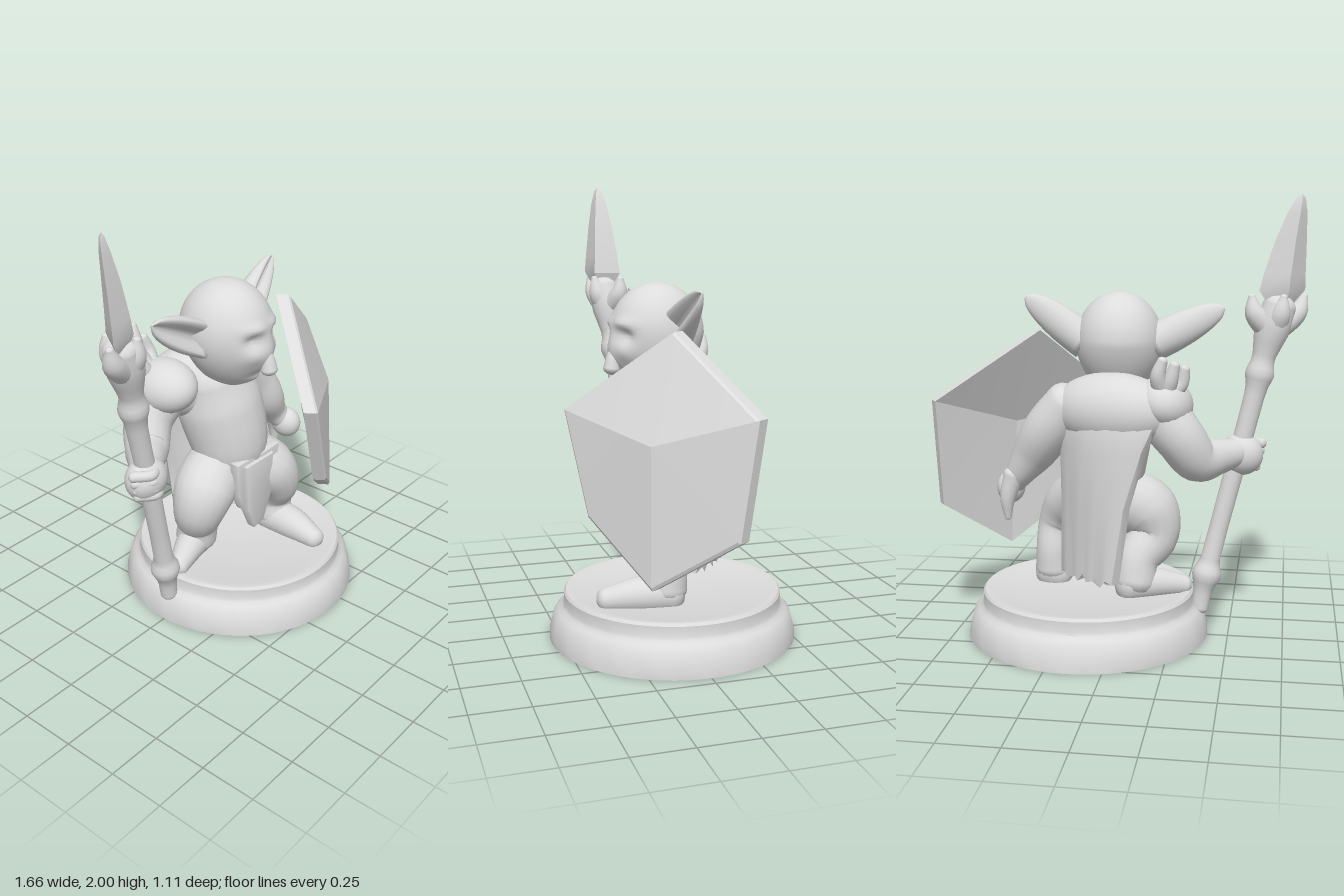
import * as THREE from 'three';
import { toCreasedNormals } from 'three/addons/utils/BufferGeometryUtils.js';

const stone = new THREE.MeshStandardMaterial({ color: 0xdcdcdc });
stone.name = 'plain grey';
const V = (x, y, z) => new THREE.Vector3(x, y, z);

// Closed skin over a list of rings; turns the faces outward by signed volume
function loft(rings, startTip, endTip) {
  const n = rings[0].length, pts = rings.flat(), idx = [];
  const mid = (r) => r.reduce((s, p) => s.add(p), V(0, 0, 0)).divideScalar(n);
  const a = pts.length, b = a + 1, last = (rings.length - 1) * n;
  const all = [...pts, startTip || mid(rings[0]), endTip || mid(rings[rings.length - 1])];
  for (let j = 0; j < n; j++) {
    const k = (j + 1) % n;
    for (let i = 0; i < rings.length - 1; i++) {
      const p = i * n + j, q = i * n + k;
      idx.push(p, q, p + n, q, q + n, p + n);
    }
    idx.push(a, k, j, b, last + j, last + k);
  }
  let vol = 0;
  for (let i = 0; i < idx.length; i += 3) {
    vol += all[idx[i]].dot(V(0, 0, 0).crossVectors(all[idx[i + 1]], all[idx[i + 2]]));
  }
  if (vol < 0) idx.reverse();
  const g = new THREE.BufferGeometry().setFromPoints(all);
  g.setIndex(idx);
  g.computeVertexNormals();
  return g;
}

// Round limb through [x, y, z, radius] stations, with domed ends
function limbGeometry(st, steps = 24, sides = 18) {
  const curve = new THREE.CatmullRomCurve3(st.map((s) => V(s[0], s[1], s[2])));
  const radii = new THREE.CatmullRomCurve3(st.map((s, i) => V(i, s[3], 0)));
  const rings = [];
  let u = null;
  const ring = (t, shift, scale) => {
    const c = curve.getPoint(t), d = curve.getTangent(t), r = radii.getPoint(t).y;
    if (!u) u = Math.abs(d.z) < 0.9 ? V(0, 0, 1) : V(1, 0, 0);
    u = u.clone().addScaledVector(d, -u.dot(d)).normalize();
    const v = V(0, 0, 0).crossVectors(d, u);
    rings.push(Array.from({ length: sides }, (_, k) => {
      const a = (k / sides) * Math.PI * 2;
      return c.clone().addScaledVector(d, shift * r)
        .addScaledVector(u, Math.cos(a) * r * scale).addScaledVector(v, Math.sin(a) * r * scale);
    }));
  };
  const dome = [0.2, 0.6, 1.0, 1.35];
  dome.forEach((a) => ring(0, -0.7 * Math.cos(a), Math.sin(a)));
  for (let i = 0; i <= steps; i++) ring(i / steps, 0, 1);
  [...dome].reverse().forEach((a) => ring(1, 0.7 * Math.cos(a), Math.sin(a)));
  return loft(rings);
}

export function createModel() {
  const model = new THREE.Group();
  model.name = 'figurine';
  const add = (name, geo, crease) => {
    const m = new THREE.Mesh(crease ? toCreasedNormals(geo, crease) : geo, stone);
    m.name = name;
    model.add(m);
    return m;
  };
  const limb = (name, st) => add(name, limbGeometry(st));
  const blob = (name, p, s, r = [0, 0, 0]) => {
    const m = add(name, new THREE.SphereGeometry(1, 28, 20));
    m.position.set(...p);
    m.scale.set(...s);
    m.rotation.set(...r);
  };

  // Stepped round base with a worn rim
  const profile = [[0, 0], [0.553, 0], [0.555, 0.03], [0.535, 0.11], [0.515, 0.13], [0.497, 0.145],
    [0.487, 0.16], [0.487, 0.205], [0.478, 0.217], [0.455, 0.217], [0.435, 0.211], [0, 0.211]];
  const base = new THREE.LatheGeometry(profile.map((p) => new THREE.Vector2(...p)), 72);
  const bp = base.attributes.position;
  for (let i = 0; i < bp.count; i++) {
    const x = bp.getX(i), z = bp.getZ(i), y = bp.getY(i), a = Math.atan2(z, x);
    const k = y > 0.01 && y < 0.15 ? 1 - 0.006 * (1 + Math.sin(a * 9) * Math.cos(a * 14)) : 1;
    bp.setXYZ(i, x * k, y, z * k);
  }
  add('base', base, 0.6).position.x = 0.147;

  // Torso and hunched back
  limb('torso', [[0.07, 0.64, -0.02, 0.16], [0.07, 0.76, -0.01, 0.185], [0.05, 0.95, -0.05, 0.2], [0.02, 1.09, -0.07, 0.17]]);
  blob('upperBack', [0.01, 1.06, -0.135], [0.29, 0.17, 0.17], [0, -0.28, 0]);

  // Head: tapered to the chin, with eye hollows, brow, cheeks and mouth
  const head = new THREE.SphereGeometry(1, 64, 48);
  const hp = head.attributes.position;
  const bump = (x, y, cx, cy, w, h) => Math.exp(-(((x - cx) / w) ** 2) - (((y - cy) / h) ** 2));
  for (let i = 0; i < hp.count; i++) {
    let x = hp.getX(i), y = hp.getY(i), z = hp.getZ(i);
    const low = Math.max(0, -y), ax = Math.abs(x);
    let out = 0;
    if (z > 0) {
      out -= 0.15 * bump(ax, y, 0.42, 0.0, 0.2, 0.13);
      out += 0.08 * bump(ax, y, 0.4, 0.24, 0.3, 0.1);
      out += 0.08 * bump(ax, y, 0.5, -0.28, 0.2, 0.15);
      out += 0.12 * bump(ax, y, 0, -0.35, 0.35, 0.3);
      out -= 0.09 * bump(ax, y, 0, -0.66, 0.28, 0.05);
      out += 0.12 * bump(ax, y, 0, -0.8, 0.3, 0.12);
    }
    x *= 1 - 0.25 * low * low;
    z = z * (z < 0 ? 1 - 0.25 * low : 1) + out * Math.abs(z);
    hp.setXYZ(i, x * 0.195, y * (y < 0 ? 0.27 : 0.225), z * 0.215);
  }
  head.computeVertexNormals();
  const skull = add('head', head);
  skull.position.set(0.008, 1.35, 0.03);
  skull.rotation.y = 0.14;
  limb('nose', [[0.03, 1.31, 0.222, 0.018], [0.037, 1.25, 0.238, 0.03], [0.04, 1.2, 0.245, 0.038]]);

  // Long pointed ears, hollow at the front
  const ear = (name, root, tip) => {
    const rings = [];
    for (let i = 0; i <= 14; i++) {
      const t = i / 14, c = root.clone().lerp(tip, t);
      const h = 0.085 * (1 - t) ** 0.6 * (0.85 + 0.6 * t) + 0.01, d = 0.085 * (1 - t) ** 0.8 + 0.008;
      const dir = tip.clone().sub(root).setZ(0).normalize();
      const up = V(-dir.y, dir.x, 0).multiplyScalar(Math.sign(dir.x));
      rings.push(Array.from({ length: 24 }, (_, k) => {
        const a = (k / 24) * Math.PI * 2, w = Math.abs(Math.cos(a)), s = Math.sin(a);
        const z = s > 0 ? d * (1.6 * w * s - 0.3 * s * s) : d * s;
        return c.clone().addScaledVector(up, h * Math.cos(a)).add(V(0, 0, z));
      }));
    }
    add(name, loft(rings));
  };
  ear('rightEar', V(-0.15, 1.345, 0.02), V(-0.46, 1.505, 0.03));
  ear('leftEar', V(0.15, 1.345, 0.0), V(0.42, 1.55, -0.04));

  // Right arm reaching out to the spear
  limb('rightArm', [[-0.2, 1.06, -0.16, 0.12], [-0.29, 0.95, -0.17, 0.11], [-0.36, 0.85, -0.12, 0.1],
    [-0.45, 0.85, -0.04, 0.08], [-0.54, 0.86, 0.03, 0.06]]);
  blob('rightHand', [-0.545, 0.845, 0.05], [0.1, 0.095, 0.085], [0, 0, 0.25]);
  for (let i = 0; i < 4; i++) {
    const y = 0.79 + i * 0.035, x = -0.55 - i * 0.008;
    limb('rightFinger', [[x - 0.065, y, 0.06, 0.023], [x, y, 0.11, 0.023], [x + 0.05, y, 0.09, 0.02]]);
  }

  // Shoulder pad with three bony spikes
  blob('shoulderPad', [-0.215, 1.1, -0.14], [0.13, 0.115, 0.165], [0, 0, 0.45]);
  [[-0.31, 1.26, -0.2], [-0.27, 1.28, -0.24], [-0.22, 1.3, -0.26]].forEach(([x, y, z]) =>
    limb('shoulderSpike', [[-0.22, 1.14, -0.2, 0.045], [x + 0.02, y - 0.07, z + 0.01, 0.034], [x, y, z, 0.022]]));

  // Left arm held behind the shield, with a hanging hand and strap end
  limb('leftArm', [[0.21, 1.07, -0.09, 0.12], [0.31, 0.96, -0.08, 0.115], [0.385, 0.85, -0.05, 0.1],
    [0.46, 0.74, -0.04, 0.065], [0.5, 0.68, -0.01, 0.05]]);
  blob('leftHand', [0.51, 0.67, 0.0], [0.065, 0.075, 0.075]);
  limb('armStrap', [[0.48, 0.74, -0.06, 0.05], [0.51, 0.63, -0.07, 0.035], [0.51, 0.54, -0.07, 0.015]]);

  // Bent legs with baggy knees, and feet
  limb('rightLeg', [[0.02, 0.65, -0.03, 0.14], [-0.12, 0.58, 0.01, 0.145], [-0.155, 0.47, 0.0, 0.118],
    [-0.09, 0.37, -0.06, 0.098], [-0.08, 0.27, -0.08, 0.098]]);
  limb('rightFoot', [[-0.05, 0.26, -0.09, 0.088], [-0.17, 0.255, -0.05, 0.07], [-0.3, 0.235, 0.0, 0.045]]);
  limb('leftLeg', [[0.13, 0.65, -0.01, 0.14], [0.24, 0.57, 0.09, 0.135], [0.3, 0.47, 0.11, 0.108],
    [0.325, 0.36, 0.075, 0.085], [0.325, 0.27, 0.08, 0.09]]);
  limb('leftFoot', [[0.325, 0.25, 0.06, 0.088], [0.315, 0.25, 0.2, 0.08], [0.295, 0.235, 0.35, 0.05]]);

  // Waist cloth: pointed flaps [centre x, top y, half width, length, front z]
  [[0.07, 0.7, 0.09, 0.33, 0.165], [0.0, 0.72, 0.06, 0.23, 0.145], [0.16, 0.72, 0.06, 0.24, 0.15]].forEach(([x, y, w, l, z]) => {
    const s = new THREE.Shape([[-w, 0], [-w * 0.9, -l * 0.65], [-w * 0.3, -l], [w * 0.3, -l * 0.96], [w * 0.9, -l * 0.6], [w, 0]]
      .map((p) => new THREE.Vector2(...p)));
    const g = new THREE.ExtrudeGeometry(s, { depth: 0.03, bevelSize: 0.01, bevelThickness: 0.01, bevelSegments: 2 });
    add('loincloth', g, 0.7).position.set(x, y, z - 0.02);
  });

  // Cape turned with the shoulders, ragged at the hem: [y, x, z, half width, bulge, turn]
  const cape = [[1.14, 0.02, -0.19, 0.2, 0.06, 0.27], [1.06, 0.02, -0.22, 0.23, 0.07, 0.28], [0.9, 0.06, -0.215, 0.21, 0.07, 0.42],
    [0.65, 0.1, -0.205, 0.185, 0.04, 0.58], [0.31, 0.13, -0.19, 0.17, 0.02, 0.68]];
  add('cape', loft(cape.map(([y, cx, cz, w, bulge, turn], row) => {
    const point = (k, inner) => {
      const f = k / 6 - 1, c = Math.cos(turn), s = Math.sin(turn);
      const lx = f * w, lz = (inner ? 0.045 : 0) - bulge * (1 - f * f) + 0.004 * row * Math.cos(k * 2.1) / 4;
      return V(cx + lx * c - lz * s, y + (row === 4 ? 0.02 * Math.sin(k * 2.4) : 0), cz + lx * s + lz * c);
    };
    const ks = Array.from({ length: 13 }, (_, k) => k);
    return [...ks.map((k) => point(k, false)), ...ks.reverse().map((k) => point(k, true))];
  })), 0.8);

  // Faceted six-cornered shield, bulging to a point
  const front = [[0.4, 1.395, 0.07], [0.085, 1.04, 0.47], [0.265, 0.6, 0.41], [0.585, 0.355, 0.22],
    [0.83, 0.6, -0.07], [0.835, 1.09, -0.14]].map((p) => V(...p));
  const peak = V(0.55, 0.95, 0.215), push = V(-0.03, 0, -0.045);
  const back = front.map((p) => p.clone().add(push));
  const bevel = front.map((p) => p.clone().lerp(peak, 0.025).add(V(0.004, 0, 0.006)));
  add('shield', loft([back, front, bevel], peak.clone().add(push), peak), 0.25);

  // Spear shaft with bound knobs and a swollen socket
  limb('spearShaft', [[-0.37, 0.13, 0.0, 0.04], [-0.385, 0.22, 0.005, 0.045], [-0.4, 0.29, 0.01, 0.068], [-0.415, 0.36, 0.015, 0.045],
    [-0.53, 0.83, 0.045, 0.045], [-0.605, 1.14, 0.06, 0.048], [-0.62, 1.21, 0.065, 0.066], [-0.635, 1.28, 0.07, 0.052],
    [-0.67, 1.41, 0.08, 0.08], [-0.7, 1.51, 0.09, 0.075]]);

  // Prongs holding the blade
  [[-0.11, 0.05], [0.12, -0.05], [0.03, 0.06], [-0.02, -0.06]].forEach(([dx, dz]) =>
    limb('prong', [[-0.67, 1.39, 0.08, 0.055], [-0.69 + dx * 0.8, 1.48, 0.085 + dz * 0.8, 0.045], [-0.7 + dx, 1.555, 0.09 + dz, 0.016]]));

  // Blade: diamond sections [y, x, half width]
  const blade = [[1.52, -0.71, 0.06], [1.58, -0.712, 0.1], [1.66, -0.722, 0.09], [1.8, -0.745, 0.068], [1.92, -0.77, 0.042], [1.98, -0.782, 0.022]];
  add('spearBlade', loft(blade.map(([y, x, w]) => [[w, -0.65 * w], [0.3 * w, 0.45 * w], [-w, 0.65 * w], [-0.3 * w, -0.45 * w]]
    .map(([dx, dz]) => V(x + dx, y, 0.1 + dz))), null, V(-0.785, 2, 0.1)), 0.4);

  return model;
}
